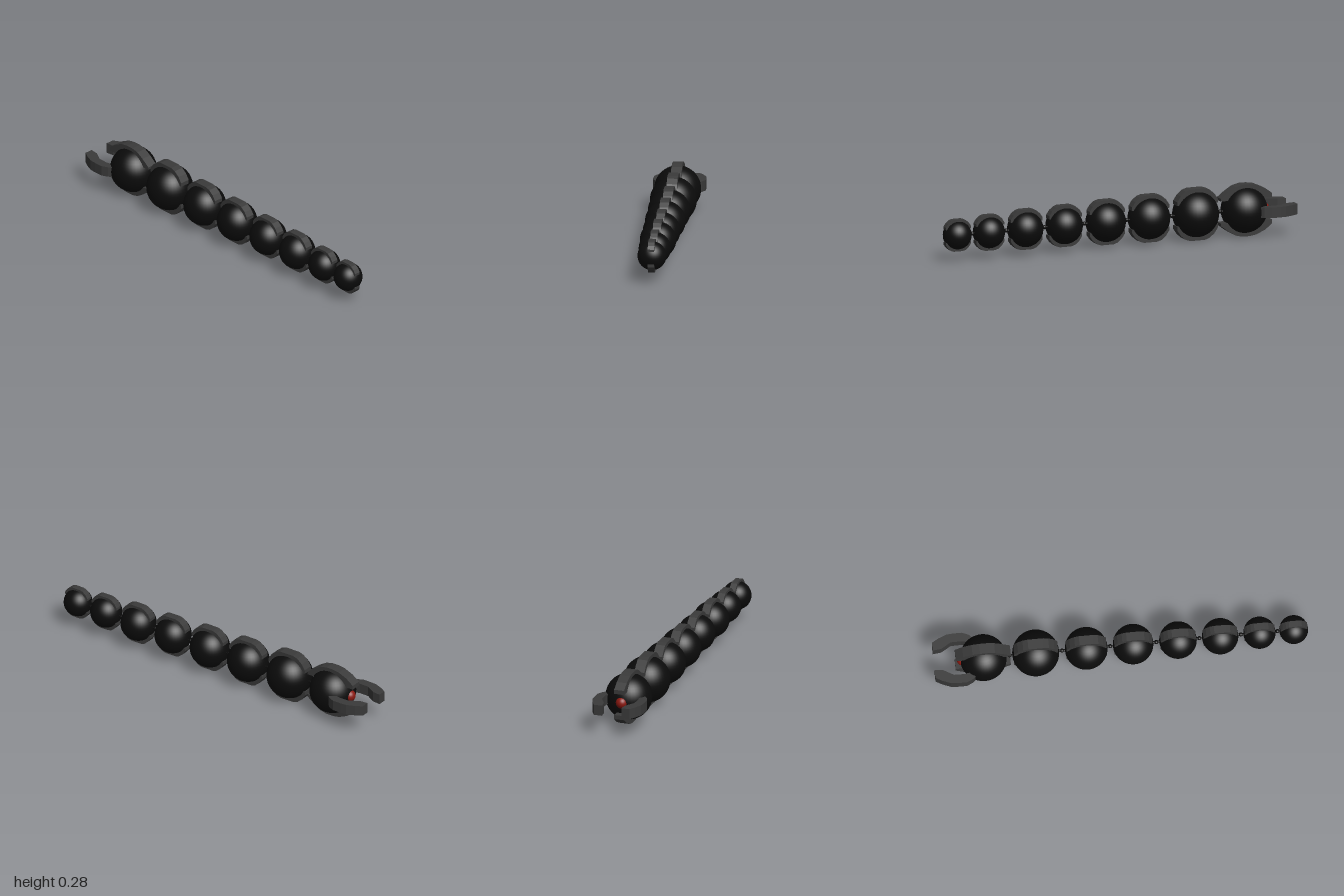
import * as THREE from 'three';

const CY = 0.142; // height of the arm's axis
const mat = (color) => new THREE.MeshStandardMaterial({ color });
const black = mat(0x0b0b0b), grey = mat(0x3a3a3a), red = mat(0x8a1810);

// Flat plate cut from an outline in the x/y plane, centred on its thickness
function plate(points, width, name) {
  const shape = new THREE.Shape(points.map(([x, y]) => new THREE.Vector2(x, y)));
  const geo = new THREE.ExtrudeGeometry(shape, { depth: width, bevelEnabled: false });
  geo.translate(0, 0, -width / 2);
  const mesh = new THREE.Mesh(geo, grey);
  mesh.name = name;
  return mesh;
}

// Copies of a plate turned around the arm's long axis
function addAround(group, points, width, name, angles) {
  for (const a of angles) {
    const p = plate(points, width, name);
    p.rotation.x = a;
    group.add(p);
  }
}

function ball(r, material, name) {
  const m = new THREE.Mesh(new THREE.SphereGeometry(r, 40, 24), material);
  m.name = name;
  return m;
}

// Half of the armour outline for a ball of radius 1, outer edge then inner edge
const outer = [[0.33, 1.12], [0.55, 1.05], [0.78, 0.86], [0.94, 0.62], [0.94, 0.45]];
const inner = [[0.8, 0.45], [0.6, 0.7], [0.3, 0.9]];
const half = [...outer, ...inner];
const armour = [...half, ...half.map(([x, y]) => [-x, y]).reverse()];

// Head plate outline, longer than the others
const headPlate = [
  [-0.15, 0.06], [-0.15, 0.083], [-0.11, 0.113], [-0.06, 0.135], [-0.02, 0.141], [0.02, 0.141],
  [0.06, 0.132], [0.1, 0.108], [0.145, 0.074], [0.145, 0.06], [0.1, 0.06], [0.05, 0.1], [-0.05, 0.1], [-0.1, 0.06],
];

// Side claw outline, reaching forward of the head
const claw = [
  [-0.265, 0.055], [-0.265, 0.1], [-0.23, 0.12], [-0.185, 0.138], [-0.15, 0.141], [-0.1, 0.141],
  [-0.065, 0.125], [-0.04, 0.1], [-0.07, 0.085], [-0.11, 0.093], [-0.165, 0.092], [-0.22, 0.06],
];

// Ball segments from head to tail: x position, radius
const segments = [
  [-0.735, 0.125], [-0.455, 0.125], [-0.185, 0.114], [0.065, 0.108],
  [0.305, 0.1], [0.53, 0.097], [0.74, 0.086], [0.923, 0.077],
];

export function createModel() {
  const model = new THREE.Group();
  model.name = 'segmentedArm';

  segments.forEach(([x, r], i) => {
    const seg = new THREE.Group();
    seg.name = i === 0 ? 'head' : 'segment';
    seg.position.set(x, CY, 0);
    seg.add(ball(r, black, 'ball'));
    if (i === 0) {
      addAround(seg, headPlate, 0.057, 'headPlate', [0, Math.PI]);
      addAround(seg, claw, 0.057, 'claw', [Math.PI / 2, -Math.PI / 2]);
      const eye = ball(0.032, red, 'eye');
      eye.position.x = -0.11;
      seg.add(eye);
    } else {
      const pts = armour.map(([px, py]) => [px * r, py * r]);
      addAround(seg, pts, r * 0.45, 'armourPlate', [0, Math.PI]);
    }
    model.add(seg);

    // Slim link with a small knuckle to the next ball
    const next = segments[i + 1];
    if (!next) return;
    const a = x + r * 0.95, b = next[0] - next[1] * 0.95;
    const link = new THREE.Mesh(new THREE.CylinderGeometry(0.006, 0.006, b - a, 12), black);
    link.name = 'link';
    link.rotation.z = Math.PI / 2;
    link.position.set((a + b) / 2, CY, 0);
    const knuckle = ball(0.011, black, 'knuckle');
    knuckle.position.copy(link.position);
    model.add(link, knuckle);
  });
  return model;
}
